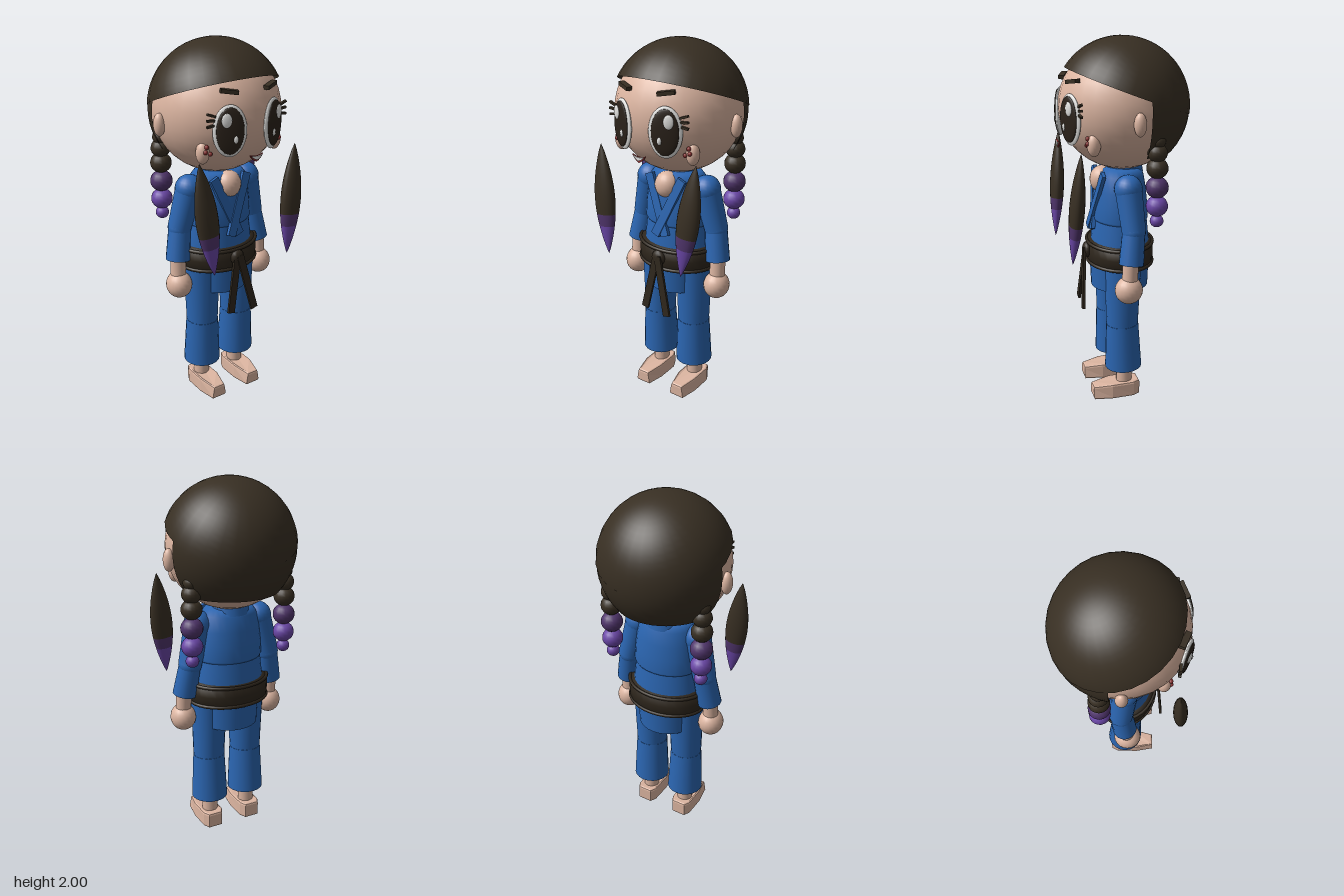
import * as THREE from 'three';
import { ParametricGeometry } from 'three/addons/geometries/ParametricGeometry.js';

const mat = (name, color, side = THREE.FrontSide) => {
  const m = new THREE.MeshStandardMaterial({ color, side });
  m.name = name;
  return m;
};

export function createModel() {
  const skin = mat('skin', 0xdcb5a1);
  const hair = mat('dark brown hair', 0x382f23, THREE.DoubleSide);
  const cloth = mat('blue cloth', 0x2b66b2, THREE.DoubleSide);
  const belt = mat('belt brown', 0x2f271d);
  const white = mat('eye white', 0xe4e4e2);
  const iris = mat('iris dark', 0x2b221a);
  const red = mat('lip red', 0x86302f, THREE.DoubleSide);
  const plum = mat('dark purple', 0x50356c);
  const violet = mat('light purple', 0x6b47a8);

  const root = new THREE.Group();
  root.name = 'figure';
  const up = new THREE.Vector3(0, 1, 0);

  function add(name, geo, material, pos = [0, 0, 0], parent = root) {
    const m = new THREE.Mesh(geo, material);
    m.name = name;
    m.position.set(...pos);
    parent.add(m);
    return m;
  }
  function ball(name, material, pos, rx, ry = rx, rz = rx, seg = 20, parent = root) {
    const m = add(name, new THREE.SphereGeometry(1, seg, Math.round(seg * 0.7)), material, pos, parent);
    m.scale.set(rx, ry, rz);
    return m;
  }
  // tapered cylinder running from point a to point b
  function limb(name, material, a, b, ra, rb) {
    const A = new THREE.Vector3(...a), B = new THREE.Vector3(...b), d = B.clone().sub(A);
    const m = add(name, new THREE.CylinderGeometry(rb, ra, d.length(), 20), material);
    m.position.copy(A).lerp(B, 0.5);
    m.quaternion.setFromUnitVectors(up, d.normalize());
    return m;
  }
  // flat strip from a to b, facing forward
  function strip(name, material, a, b, width, depth) {
    const A = new THREE.Vector3(...a), B = new THREE.Vector3(...b), d = A.clone().sub(B);
    const m = add(name, new THREE.BoxGeometry(width, d.length(), depth), material);
    m.position.copy(A).lerp(B, 0.5);
    m.quaternion.setFromUnitVectors(up, d.normalize());
    return m;
  }
  function lathe(name, material, pts, pos, zScale) {
    const geo = new THREE.LatheGeometry(pts.map(p => new THREE.Vector2(...p)), 28);
    const m = add(name, geo, material, pos);
    m.scale.z = zScale;
    return m;
  }

  // head
  ball('head', skin, [0, 1.64, 0], 0.338, 0.33, 0.336, 28);
  const R = 0.358, headY = 1.642;
  const cap = add('hairCap', new THREE.SphereGeometry(R, 28, 14, 0, Math.PI * 2, 0, 1.338), hair, [0, headY, 0]);
  cap.rotation.x = -0.365;
  // back hair: sphere band cut by a vertical plane behind the ears
  add('backHair', new ParametricGeometry((u, v, t) => {
    const y = -0.234 + v * 0.4, r = Math.sqrt(0.355 ** 2 - y * y);
    const start = Math.asin(0.06 / r), a = start + u * (Math.PI - 2 * start);
    t.set(r * Math.cos(a), y, -r * Math.sin(a));
  }, 20, 10), hair, [0, headY, 0]);

  // mouth
  const mouth = new THREE.Shape();
  mouth.moveTo(-0.04, 0.017);
  mouth.quadraticCurveTo(0, 0, 0.04, 0.017);
  mouth.quadraticCurveTo(0.03, -0.008, 0, -0.022);
  mouth.quadraticCurveTo(-0.03, -0.008, -0.04, 0.017);
  const mouthGeo = new THREE.ExtrudeGeometry(mouth, { depth: 0.008, bevelEnabled: false });
  add('mouth', mouthGeo, red, [0, 1.458, 0.34]);
  add('teeth', mouthGeo, white, [0, 1.46, 0.347]).scale.set(0.8, 0.6, 0.8);

  for (const s of [-1, 1]) {
    const side = s > 0 ? 'left' : 'right';
    ball(side + 'Ear', skin, [s * 0.345, 1.6, 0], 0.03, 0.06, 0.032);

    // eye, built facing +z and swung around the head axis
    const eye = new THREE.Group();
    eye.name = side + 'Eye';
    eye.position.y = 1.603;
    eye.rotation.y = s * 0.41;
    root.add(eye);
    ball('eyeWhite', white, [0, 0, 0.33], 0.086, 0.131, 0.02, 24, eye);
    ball('iris', iris, [0, 0.002, 0.342], 0.07, 0.117, 0.014, 24, eye);
    ball('largeHighlight', white, [s * 0.02, 0.058, 0.354], 0.026, 0.036, 0.008, 14, eye);
    ball('smallHighlight', white, [-s * 0.026, -0.038, 0.352], 0.012, 0.02, 0.008, 12, eye);
    add('eyebrow', new THREE.BoxGeometry(0.088, 0.02, 0.03), hair, [0, 0.189, 0.312], eye).rotation.z = s * 0.15;
    for (let i = 0; i < 3; i++) {
      const lash = add('eyelash', new THREE.BoxGeometry(0.05, 0.011, 0.014), hair, [s * 0.092, 0.03 + i * 0.026, 0.335], eye);
      lash.rotation.set(0, -s * 0.35, s * (i - 0.6) * 0.25);
    }

    // cheek with freckles
    ball(side + 'Cheek', skin, [s * 0.225, 1.485, 0.205], 0.035, 0.058, 0.035).rotation.y = s * 0.8;
    for (const [x, y, z] of [[0.222, 1.52, 0.236], [0.2, 1.482, 0.235], [0.23, 1.496, 0.238]])
      ball(side + 'Freckle', red, [s * x, y, z], 0.012, 0.012, 0.012, 10);

    // loose front lock, in three colour bands
    const lock = new THREE.Group();
    lock.name = side + 'FrontLock';
    lock.position.set(s * 0.238, 0.866, 0.328);
    lock.quaternion.setFromUnitVectors(up, new THREE.Vector3(s * 0.062, 0.6, -0.042).normalize());
    root.add(lock);
    for (const [name, m, t0, t1] of [['lockTip', violet, 0, 0.26], ['lockBand', plum, 0.26, 0.37], ['lockTop', hair, 0.37, 1]]) {
      const pts = [];
      for (let i = 0; i <= 10; i++) {
        const t = t0 + (t1 - t0) * i / 10;
        pts.push(new THREE.Vector2(0.064 * Math.pow(Math.max(0, Math.sin(Math.PI * t)), 0.85), t * 0.605));
      }
      add(name, new THREE.LatheGeometry(pts, 20), m, [0, 0, 0], lock).scale.z = 0.6;
    }

    // beaded braid
    for (const [y, r, m] of [[1.5, 0.042, hair], [1.44, 0.052, hair], [1.36, 0.057, hair],
      [1.26, 0.06, plum], [1.16, 0.058, violet], [1.08, 0.036, violet]])
      ball(side + 'BraidBead', m, [s * 0.275, y, -0.112], r, r * 0.94, r, 16);

    // arm
    const shoulder = [s * 0.185, 1.235, 0.015], elbow = [s * 0.238, 1.02, 0.0], cuff = [s * 0.265, 0.845, 0.02];
    ball(side + 'Shoulder', cloth, shoulder, 0.075);
    limb(side + 'UpperSleeve', cloth, shoulder, elbow, 0.072, 0.064);
    ball(side + 'Elbow', cloth, elbow, 0.064);
    limb(side + 'LowerSleeve', cloth, elbow, cuff, 0.06, 0.066);
    limb(side + 'Wrist', skin, [s * 0.267, 0.88, 0.022], [s * 0.27, 0.75, 0.03], 0.042, 0.042);
    ball(side + 'Hand', skin, [s * 0.27, 0.704, 0.035], 0.07, 0.075, 0.075);

    // leg
    limb(side + 'Thigh', cloth, [s * 0.115, 0.85, 0.025], [s * 0.117, 0.43, 0.03], 0.103, 0.088);
    limb(side + 'Shin', cloth, [s * 0.117, 0.445, 0.03], [s * 0.117, 0.18, 0.024], 0.09, 0.103);
    limb(side + 'Ankle', skin, [s * 0.117, 0.24, 0.02], [s * 0.119, 0.07, 0.02], 0.044, 0.044);
    const sole = new THREE.Shape([[-0.035, -0.05], [0.035, -0.05], [0.05, -0.02], [0.052, 0.1], [0.036, 0.195],
      [-0.036, 0.195], [-0.052, 0.1], [-0.05, -0.02]].map(p => new THREE.Vector2(p[0], -p[1])));
    const foot = new THREE.ExtrudeGeometry(sole, { depth: 0.067, bevelSize: 0.01, bevelThickness: 0.012, bevelSegments: 2 });
    foot.rotateX(-Math.PI / 2);
    // lower the top of the foot slightly towards the toe
    const p = foot.attributes.position;
    for (let i = 0; i < p.count; i++)
      if (p.getY(i) > 0.04) {
        const k = Math.max(0, p.getZ(i) - 0.08) / 0.125;
        p.setY(i, p.getY(i) - 0.015 * k);
        p.setX(i, p.getX(i) * (1 - 0.2 * k));
      }
    foot.computeVertexNormals();
    add(side + 'Foot', foot, skin, [s * 0.12, 0.012, 0]);

    // lapel
    strip(side + 'Lapel', cloth, [s * 0.105, 1.3, 0.128], [-s * 0.03, 0.98, 0.178 + s * 0.004], 0.05, 0.02);
    // belt tail
    strip(side + 'BeltTail', belt, [s * 0.005, 0.87, 0.212 + s * 0.004],
      [s > 0 ? 0.086 : -0.066, s > 0 ? 0.54 : 0.55, 0.24 + s * 0.004], 0.042, 0.014);
  }

  // neck and jacket
  limb('neck', skin, [0, 1.22, 0.01], [0, 1.36, 0.01], 0.07, 0.07);
  ball('openNeckline', skin, [0, 1.25, 0.112], 0.07, 0.074, 0.065);
  add('collar', new THREE.CylinderGeometry(0.092, 0.105, 0.08, 24, 1, true), cloth, [0, 1.325, -0.01]);
  lathe('chest', cloth, [[0, 1.02], [0.182, 1.025], [0.19, 1.04], [0.185, 1.12], [0.175, 1.2], [0.158, 1.28], [0.13, 1.315], [0, 1.33]],
    [0, 0, 0.013], 0.8);
  lathe('waist', cloth, [[0.203, 0.83], [0.195, 0.93], [0.182, 1.04]], [0, 0, 0.013], 0.8);
  lathe('jacketSkirt', cloth, [[0.162, 0.64], [0.166, 0.74], [0.17, 0.84]], [0, 0, 0.015], 0.98);
  ball('hips', cloth, [0, 0.74, 0.02], 0.19, 0.13, 0.13);

  // belt with raised rims
  lathe('belt', belt, [[0.19, 0.775], [0.226, 0.782], [0.23, 0.845], [0.226, 0.905], [0.19, 0.912]], [0, 0, 0.015], 0.79);
  for (const y of [0.79, 0.9]) {
    const rim = add('beltRim', new THREE.TorusGeometry(0.225, 0.01, 8, 32), belt, [0, y, 0.015]);
    rim.rotation.x = Math.PI / 2;
    rim.scale.y = 0.8;
  }
  ball('beltKnot', belt, [0, 0.855, 0.2], 0.042, 0.044, 0.025, 12);

  return root;
}
